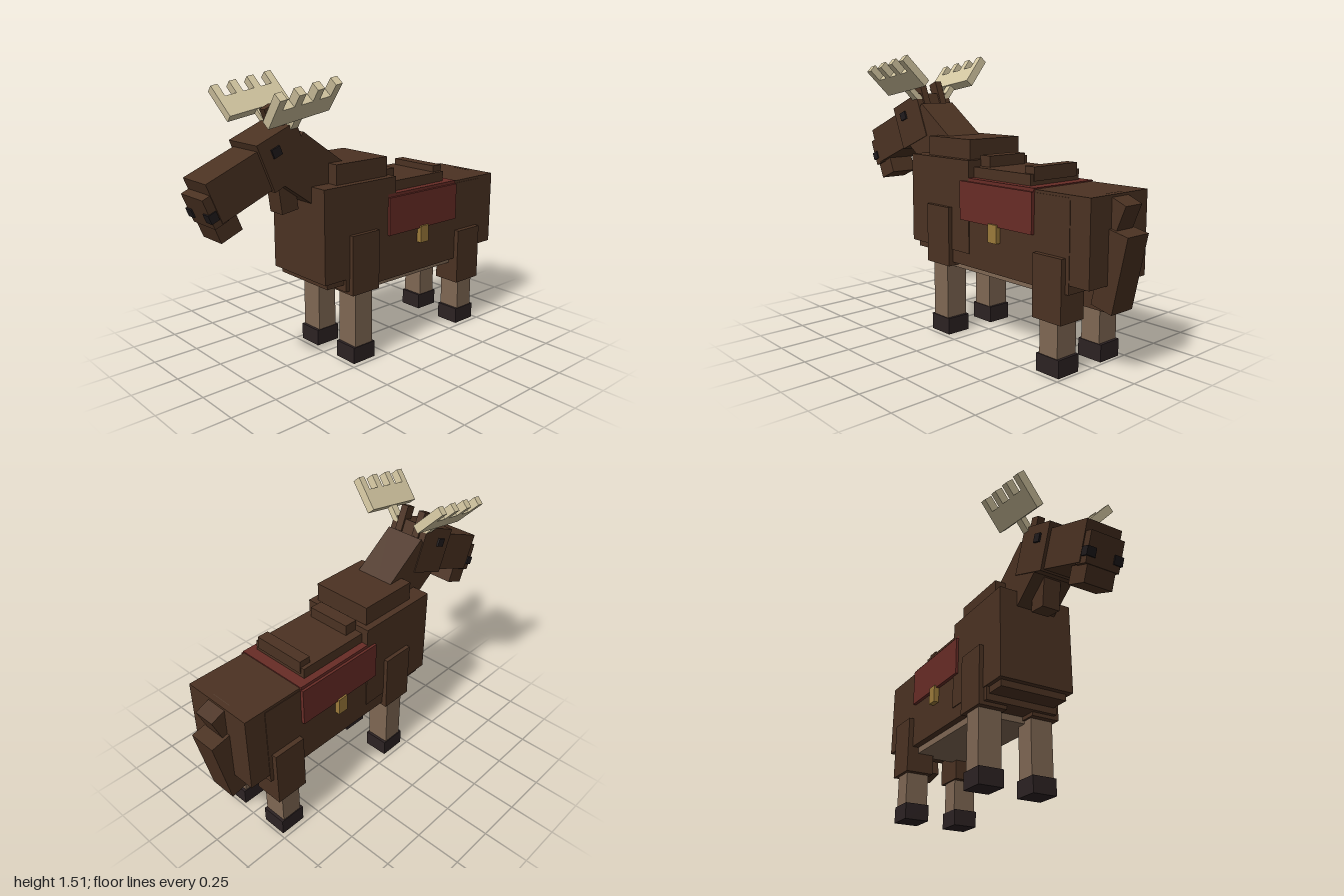
import * as THREE from 'three';

const mat = (name, color) => {
  const m = new THREE.MeshStandardMaterial({ color });
  m.name = name;
  return m;
};

export function createModel() {
  const fur = mat('brown fur', 0x4b3222);
  const shin = mat('pale leg fur', 0x7f6753);
  const hoofMat = mat('dark hoof', 0x2c2223);
  const black = mat('black', 0x1f1a1c);
  const bone = mat('antler bone', 0xd2c5a0);
  const cloth = mat('red cloth', 0x682c26);
  const brass = mat('brass', 0x9c7a3a);

  const model = new THREE.Group();
  model.name = 'moose';

  // Box by centre and size, turned about z
  const box = (name, m, size, pos, rz = 0, parent = model) => {
    const mesh = new THREE.Mesh(new THREE.BoxGeometry(...size), m);
    mesh.name = name;
    mesh.position.set(...pos);
    mesh.rotation.z = rz;
    parent.add(mesh);
    return mesh;
  };
  // Box by x range, y range and z range
  const span = (name, m, x0, x1, y0, y1, z0, z1) =>
    box(name, m, [x1 - x0, y1 - y0, z1 - z0], [(x0 + x1) / 2, (y0 + y1) / 2, (z0 + z1) / 2]);
  const wide = (name, m, x0, x1, y0, y1, z) => span(name, m, x0, x1, y0, y1, -z, z);

  // Trunk
  wide('chest', fur, -0.405, 0.08, 0.48, 0.97, 0.212);
  wide('brisket', fur, -0.375, 0, 0.445, 0.6, 0.19);
  wide('barrel', fur, -0.265, 0.773, 0.41, 0.86, 0.207);
  wide('rump', fur, 0.03, 0.89, 0.455, 0.874, 0.204);
  wide('hump', fur, -0.295, 0.05, 0.95, 1.074, 0.174);
  wide('belly', shin, -0.15, 0.62, 0.375, 0.43, 0.17);

  // Tail
  box('tailStub', fur, [0.12, 0.15, 0.118], [0.884, 0.783, 0], -0.39);
  box('tail', fur, [0.125, 0.383, 0.152], [0.896, 0.521, 0], -0.21);

  // Neck, head and muzzle share a downward slope
  const slope = 0.388;
  box('neck', fur, [0.5, 0.27, 0.225], [-0.321, 0.991, 0], -0.617);
  box('head', fur, [0.243, 0.252, 0.234], [-0.559, 1.137, 0], slope);
  box('muzzle', fur, [0.32, 0.208, 0.2], [-0.794, 1.029, 0], slope);
  box('nose', fur, [0.08, 0.155, 0.19], [-0.933, 0.937, 0], slope);
  box('lowerLip', fur, [0.125, 0.09, 0.16], [-0.862, 0.838, 0], slope);
  box('dewlap', fur, [0.1, 0.27, 0.1], [-0.506, 0.979, 0], 0.13);

  // Saddle
  wide('blanketTop', cloth, 0.025, 0.55, 0.855, 0.88, 0.212);
  wide('saddleSeat', fur, 0.08, 0.49, 0.87, 0.935, 0.173);
  wide('saddlePommel', fur, 0.075, 0.15, 0.9, 0.993, 0.126);
  wide('saddleCantle', fur, 0.43, 0.495, 0.9, 0.97, 0.152);

  for (const s of [1, -1]) {
    // Span mirrored to either flank
    const side = (name, m, x0, x1, y0, y1, z0, z1) =>
      span(name, m, x0, x1, y0, y1, Math.min(s * z0, s * z1), Math.max(s * z0, s * z1));

    side('blanketSide', cloth, 0.025, 0.55, 0.658, 0.863, 0.19, 0.226);
    side('buckle', brass, 0.255, 0.315, 0.575, 0.67, 0.19, 0.236);

    // Legs
    for (const [name, x, y0, y1] of [['front', -0.15, 0.39, 0.71], ['rear', 0.66, 0.265, 0.58]]) {
      side(name + 'Thigh', fur, x - 0.092, x + 0.092, y0, y1, 0.075, 0.235);
      side(name + 'Shin', shin, x - 0.058, x + 0.058, 0.08, y0 + 0.05, 0.087, 0.217);
      side(name + 'Hoof', hoofMat, x - 0.073, x + 0.073, 0, 0.09, 0.083, 0.222);
    }

    // Face details
    box('eye', black, [0.05, 0.045, 0.03], [-0.612, 1.168, s * 0.112], slope);
    box('nostril', black, [0.045, 0.045, 0.05], [-0.948, 0.908, s * 0.078], slope);
    box('ear', fur, [0.06, 0.14, 0.042], [-0.512, 1.293, s * 0.058], slope);

    // Antler: stem, flat palm and four tines
    const antler = new THREE.Group();
    antler.name = 'antler';
    antler.position.set(-0.515, 1.33, s * 0.153);
    antler.rotation.set(s * 0.745, 0, 0.165, 'ZYX');
    box('antlerStem', bone, [0.045, 0.13, 0.034], [0, -0.055, 0], 0, antler);
    box('antlerPalm', bone, [0.358, 0.115, 0.047], [0, 0.0575, 0], 0, antler);
    for (let i = 0; i < 4; i++)
      box('antlerTine', bone, [0.04, 0.08, 0.047], [-0.159 + i * 0.106, 0.15, 0], 0, antler);
    model.add(antler);
  }
  return model;
}
